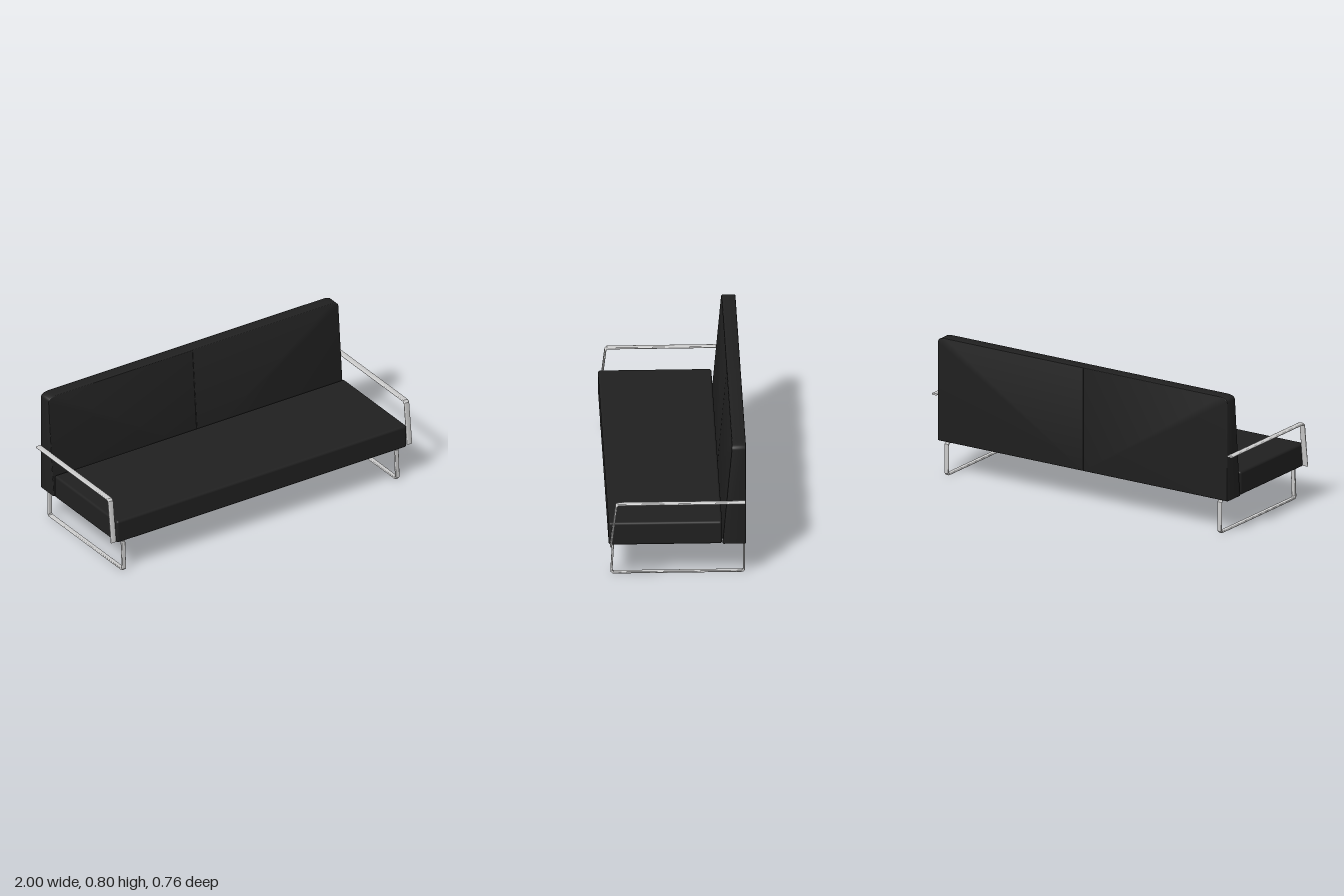
import * as THREE from 'three';
import { toCreasedNormals } from 'three/addons/utils/BufferGeometryUtils.js';
import { RoundedBoxGeometry } from 'three/addons/geometries/RoundedBoxGeometry.js';

const fabric = new THREE.MeshStandardMaterial({ color: 0x202020 });
const metal = new THREE.MeshStandardMaterial({ color: 0xcccccc });

// Cut each corner of a [z, y] path with a short chamfer
function chamfer(points, closed, size) {
  const n = points.length, out = [];
  points.forEach(([z, y], i) => {
    const p = new THREE.Vector2(z, y);
    if (!closed && (i === 0 || i === n - 1)) return out.push(p);
    for (const k of [i - 1 + n, i + 1]) {
      const dir = new THREE.Vector2(...points[k % n]).sub(p).normalize();
      out.push(p.clone().addScaledVector(dir, size));
    }
  });
  return out;
}

// Flat bar with rounded sides, swept with mitred joints along a [z, y] path
function barGeometry(points, closed, width, thickness) {
  const path = chamfer(points, closed, 0.009), n = path.length;
  const section = [], r = thickness / 2, arc = 6;
  for (const side of [1, -1]) {
    for (let k = 0; k <= arc; k++) {
      const a = -Math.PI / 2 + Math.PI * k / arc;
      section.push([side * (width / 2 - r + r * Math.cos(a)), side * r * Math.sin(a)]);
    }
  }
  const m = section.length, pos = [], index = [];
  const normal = (i) => {
    const t = path[(i + 1 + n) % n].clone().sub(path[(i + n) % n]).normalize();
    return new THREE.Vector2(-t.y, t.x);
  };
  path.forEach((p, i) => {
    const a = normal(closed || i > 0 ? i - 1 : 0);
    const b = normal(closed || i < n - 1 ? i : n - 2);
    const v = a.clone().add(b).divideScalar(1 + a.dot(b));
    for (const [sx, sn] of section) pos.push(sx, p.y + v.y * sn, p.x + v.x * sn);
  });
  for (let i = 0; i < (closed ? n : n - 1); i++) {
    for (let j = 0; j < m; j++) {
      const a = i * m + j, b = i * m + (j + 1) % m;
      const c = ((i + 1) % n) * m + j, d = ((i + 1) % n) * m + (j + 1) % m;
      index.push(a, b, d, a, d, c);
    }
  }
  if (!closed) {
    const e = (n - 1) * m;
    for (let j = 1; j < m - 1; j++) index.push(0, j + 1, j, e, e + j, e + j + 1);
  }
  const geo = new THREE.BufferGeometry();
  geo.setAttribute('position', new THREE.Float32BufferAttribute(pos, 3));
  geo.setIndex(index);
  return toCreasedNormals(geo, 0.6);
}

// Half of the backrest: rounded outer top corner, front face leaning back
function backrestGeometry(seam, outer) {
  const bottom = 0.197, top = 0.797, depth = 0.13, bevel = 0.006;
  const s = Math.sign(outer - seam);
  const shape = new THREE.Shape();
  shape.moveTo(seam, bottom);
  shape.lineTo(outer, bottom);
  shape.lineTo(outer, top - 0.028);
  shape.quadraticCurveTo(outer, top, outer - s * 0.055, top);
  shape.lineTo(seam, top);
  shape.closePath();
  const geo = new THREE.ExtrudeGeometry(shape, {
    depth: depth - 2 * bevel, curveSegments: 8,
    bevelThickness: bevel, bevelSize: bevel, bevelOffset: -bevel, bevelSegments: 3,
  });
  geo.translate(0, 0, bevel);
  const p = geo.attributes.position;
  for (let i = 0; i < p.count; i++) {
    const lean = (p.getY(i) - bottom) / (top - bottom);
    const thick = THREE.MathUtils.lerp(depth, 0.077, lean);
    p.setZ(i, -0.378 + p.getZ(i) / depth * thick);
  }
  return toCreasedNormals(geo, 0.6);
}

export function createModel() {
  const sofa = new THREE.Group();
  sofa.name = 'sofa';
  const add = (name, geo, material, x = 0, y = 0, z = 0) => {
    const mesh = new THREE.Mesh(geo, material);
    mesh.name = name;
    mesh.position.set(x, y, z);
    sofa.add(mesh);
  };

  // Upholstery
  add('seat', new RoundedBoxGeometry(1.926, 0.137, 0.626, 4, 0.014), fabric, -0.003, 0.2645, 0.067);
  add('leftBackrest', backrestGeometry(-0.008, 0.96), fabric);
  add('rightBackrest', backrestGeometry(-0.008, -0.966), fabric);

  // Armrest bars and closed leg loops on both sides
  const arm = barGeometry([[0.368, 0.204], [0.337, 0.46], [-0.375, 0.46]], false, 0.034, 0.011);
  const leg = barGeometry([[0.364, 0.007], [0.354, 0.191], [-0.369, 0.191], [-0.369, 0.007]], true, 0.028, 0.011);
  for (const [side, s] of [['left', 1], ['right', -1]]) {
    add(side + 'Armrest', arm, metal, s * 0.983);
    add(side + 'LegFrame', leg, metal, s * 0.908 - 0.003);
  }
  return sofa;
}
